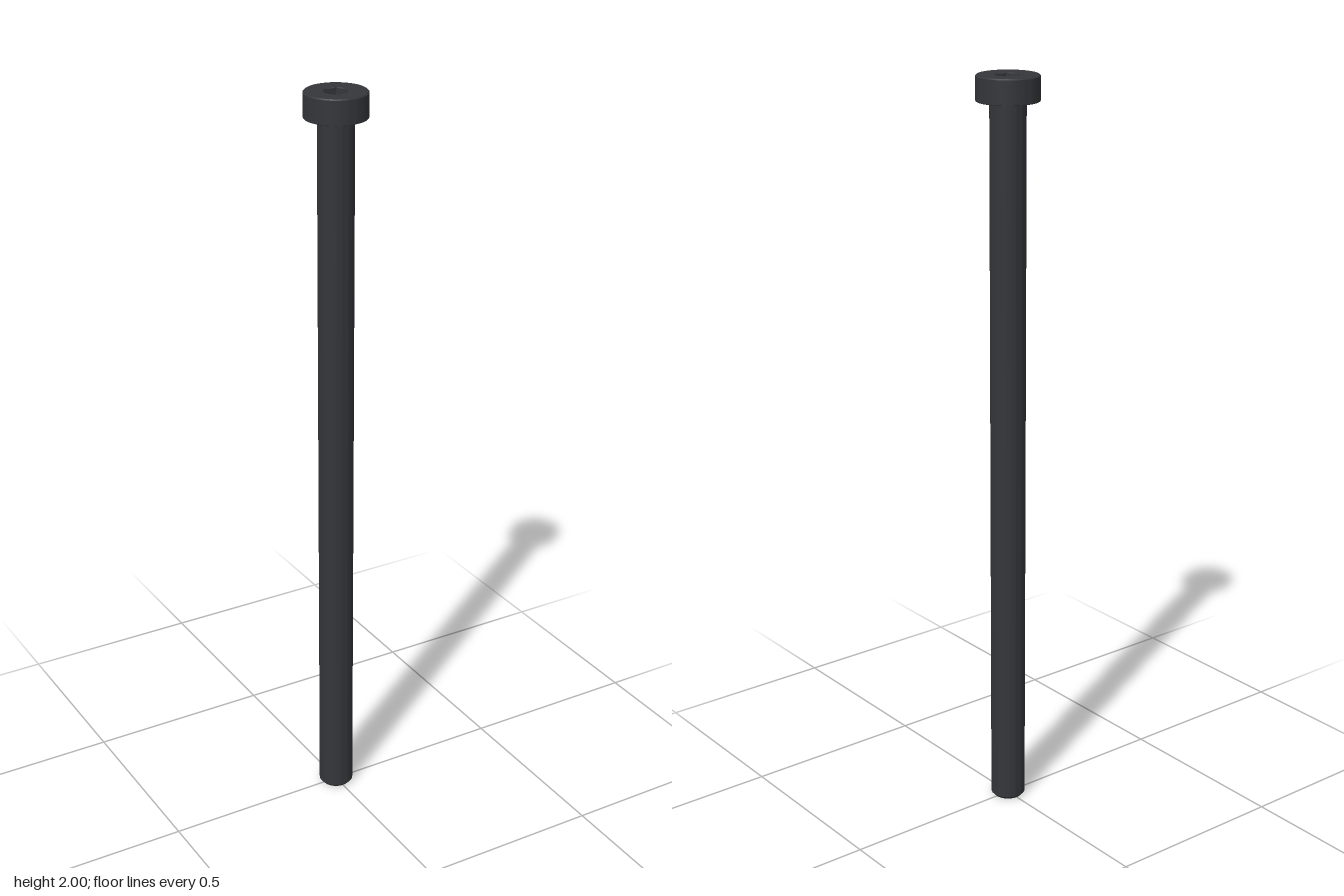
import * as THREE from 'three';
import { toCreasedNormals } from 'three/addons/utils/BufferGeometryUtils.js';

const SEGMENTS = 72;
const SHANK_R = 0.0465, HEAD_R = 0.081, SOCKET_R = 0.034;
const TOP = 2, HEAD_BASE = 1.935, SOCKET_FLOOR = 1.962;

const steel = new THREE.MeshStandardMaterial({ color: 0x34363a });

// Turned part from a bottom-to-top profile, with crisp edges
function turned(name, profile) {
  const points = profile.map(([r, y]) => new THREE.Vector2(r, y));
  const geometry = toCreasedNormals(new THREE.LatheGeometry(points, SEGMENTS), 0.4);
  const mesh = new THREE.Mesh(geometry, steel);
  mesh.name = name;
  return mesh;
}

// Hexagonal recess whose round mouth is countersunk into the flats
function hexSocket() {
  const apothem = SOCKET_R * Math.cos(Math.PI / 6);
  const rings = (i) => {
    const a = (i / SEGMENTS) * Math.PI * 2;
    const offset = (a % (Math.PI / 3)) - Math.PI / 6;
    const rho = Math.min(SOCKET_R, apothem / Math.cos(offset));
    const at = (r, y) => [r * Math.cos(a), y, r * Math.sin(a)];
    return [
      at(SOCKET_R, TOP),
      at(rho, TOP - (SOCKET_R - rho) * 0.7),
      at(rho, SOCKET_FLOOR),
      [0, SOCKET_FLOOR, 0],
    ];
  };
  const positions = [];
  for (let i = 0; i < SEGMENTS; i++) {
    const a = rings(i), b = rings((i + 1) % SEGMENTS);
    for (let k = 0; k < 3; k++) {
      positions.push(...a[k], ...a[k + 1], ...b[k]);
      if (k < 2) positions.push(...b[k], ...a[k + 1], ...b[k + 1]);
    }
  }
  const geometry = new THREE.BufferGeometry();
  geometry.setAttribute('position', new THREE.Float32BufferAttribute(positions, 3));
  geometry.computeVertexNormals();
  const mesh = new THREE.Mesh(geometry, steel);
  mesh.name = 'hexSocket';
  return mesh;
}

export function createModel() {
  const bolt = new THREE.Group();
  bolt.name = 'socketHeadBolt';

  // Long plain shank with a chamfered tip
  bolt.add(turned('shank', [
    [0, 0], [SHANK_R - 0.007, 0], [SHANK_R, 0.008], [SHANK_R, HEAD_BASE],
  ]));

  // Low cylindrical head with a softened upper rim, open around the socket
  bolt.add(turned('head', [
    [SHANK_R, HEAD_BASE], [HEAD_R - 0.001, HEAD_BASE], [HEAD_R, HEAD_BASE + 0.001],
    [HEAD_R, TOP - 0.003], [HEAD_R - 0.003, TOP], [SOCKET_R, TOP],
  ]));

  bolt.add(hexSocket());
  return bolt;
}
